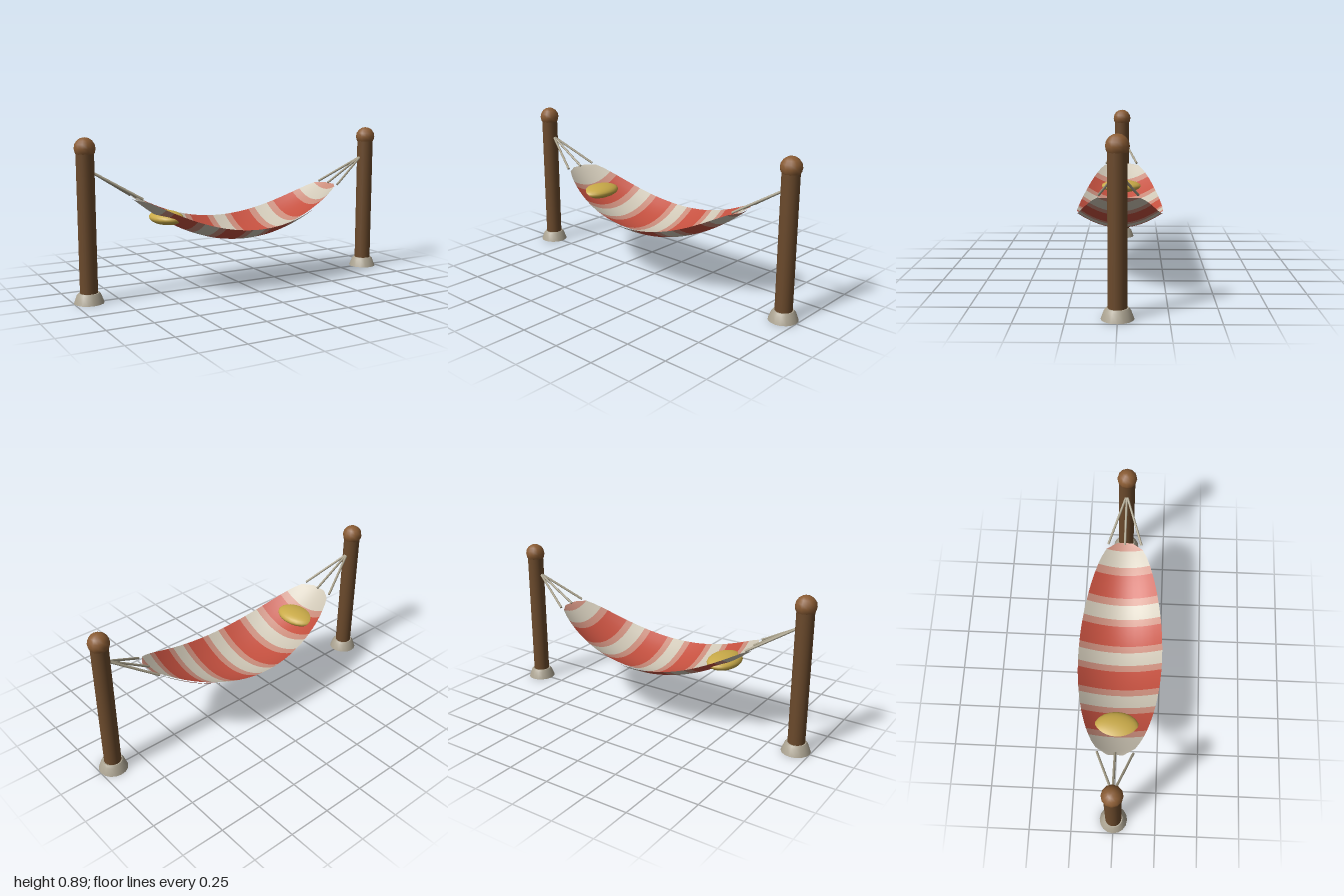
import * as THREE from 'three';
import { toCreasedNormals } from 'three/addons/utils/BufferGeometryUtils.js';

const mat = (color) => new THREE.MeshStandardMaterial({ color });
const MATS = {
  wood: mat(0x6b4a2c), knob: mat(0x8a5c34), stone: mat(0xaaa290), rope: mat(0xaaa28c),
  cushion: mat(0xc9aa48), cream: mat(0xcdc5b4), red: mat(0xc4503f), blend: mat(0xc88b7a),
};

function part(parent, name, geometry, material) {
  const mesh = new THREE.Mesh(geometry, material);
  mesh.name = name;
  parent.add(mesh);
  return mesh;
}

// Rod between two points
function rod(parent, name, from, to, radius) {
  const dir = to.clone().sub(from);
  const mesh = part(parent, name, new THREE.CylinderGeometry(radius, radius, dir.length(), 8), MATS.rope);
  mesh.position.copy(from).addScaledVector(dir, 0.5);
  mesh.quaternion.setFromUnitVectors(new THREE.Vector3(0, 1, 0), dir.normalize());
}

// Post with stone foot, round knob and three ropes fanning to the cloth
function makePost(side) {
  const post = new THREE.Group();
  post.name = side > 0 ? 'leftPost' : 'rightPost';
  const x = 0.918 * side;

  const shaft = part(post, 'shaft', new THREE.CylinderGeometry(0.048, 0.048, 0.8, 20), MATS.wood);
  shaft.position.set(x, 0.41, 0);

  const profile = [[0.048, 0], [0.082, 0], [0.066, 0.043], [0.055, 0.056], [0.04, 0.056]]
    .map(([r, y]) => new THREE.Vector2(r, y));
  const foot = part(post, 'foot', toCreasedNormals(new THREE.LatheGeometry(profile, 16), 0.7), MATS.stone);
  foot.position.x = x;

  const knob = part(post, 'knob', new THREE.SphereGeometry(0.058, 12, 8), MATS.knob);
  knob.position.set(x, 0.834, 0);

  for (const z of [-0.1, 0, 0.1]) {
    rod(post, 'rope', new THREE.Vector3(0.885 * side, 0.708, 0), new THREE.Vector3(0.635 * side, 0.556, z), 0.007);
  }
  return post;
}

// Point on the sagging cloth: t runs along x, v across z from -1 to 1
function clothPoint(t, v, lift) {
  const u = 2 * t - 1;
  const bulge = Math.sqrt(Math.max(0, Math.sin(Math.PI * t)));
  const sag = 0.27 + 0.272 * u * u;
  return [0.648 * u, sag + lift + 0.088 * bulge * v * v, v * (0.045 + 0.205 * bulge)];
}

// One face of the cloth, split into cream, red and faded columns
function makeSheet(name, lift, faceUp) {
  const COLS = 32, ROWS = 12;
  const positions = [], indices = { cream: [], red: [], blend: [] };
  const isRed = (i) => Math.floor((i / COLS) * 9) % 2 === 1;

  for (let i = 0; i <= COLS; i++) {
    for (let j = 0; j <= ROWS; j++) {
      positions.push(...clothPoint(i / COLS, (2 * j) / ROWS - 1, lift));
    }
  }
  for (let i = 0; i < COLS; i++) {
    const key = isRed(i) !== isRed(i + 1) ? 'blend' : isRed(i) ? 'red' : 'cream';
    for (let j = 0; j < ROWS; j++) {
      const a = i * (ROWS + 1) + j, b = a + ROWS + 1, c = a + 1, d = b + 1;
      indices[key].push(...(faceUp ? [a, c, b, b, c, d] : [a, b, c, b, d, c]));
    }
  }

  // Normals are computed over the whole sheet so the stripes join smoothly
  const whole = new THREE.BufferGeometry();
  whole.setAttribute('position', new THREE.Float32BufferAttribute(positions, 3));
  whole.setIndex(Object.values(indices).flat());
  whole.computeVertexNormals();

  const sheet = new THREE.Group();
  sheet.name = name;
  for (const [key, index] of Object.entries(indices)) {
    const geometry = new THREE.BufferGeometry();
    geometry.setAttribute('position', whole.getAttribute('position'));
    geometry.setAttribute('normal', whole.getAttribute('normal'));
    geometry.setIndex(index);
    part(sheet, `${key}Stripes`, geometry, MATS[key]);
  }
  return sheet;
}

export function createModel() {
  const model = new THREE.Group();
  model.name = 'hammock';

  model.add(makePost(-1), makePost(1));
  model.add(makeSheet('clothTop', 0.011, true), makeSheet('clothUnderside', 0, false));

  // Cushion lying at one end
  const cushion = part(model, 'cushion', new THREE.SphereGeometry(1, 20, 14), MATS.cushion);
  cushion.scale.set(0.09, 0.039, 0.13);
  cushion.position.set(-0.46, 0.429, 0);

  return model;
}
